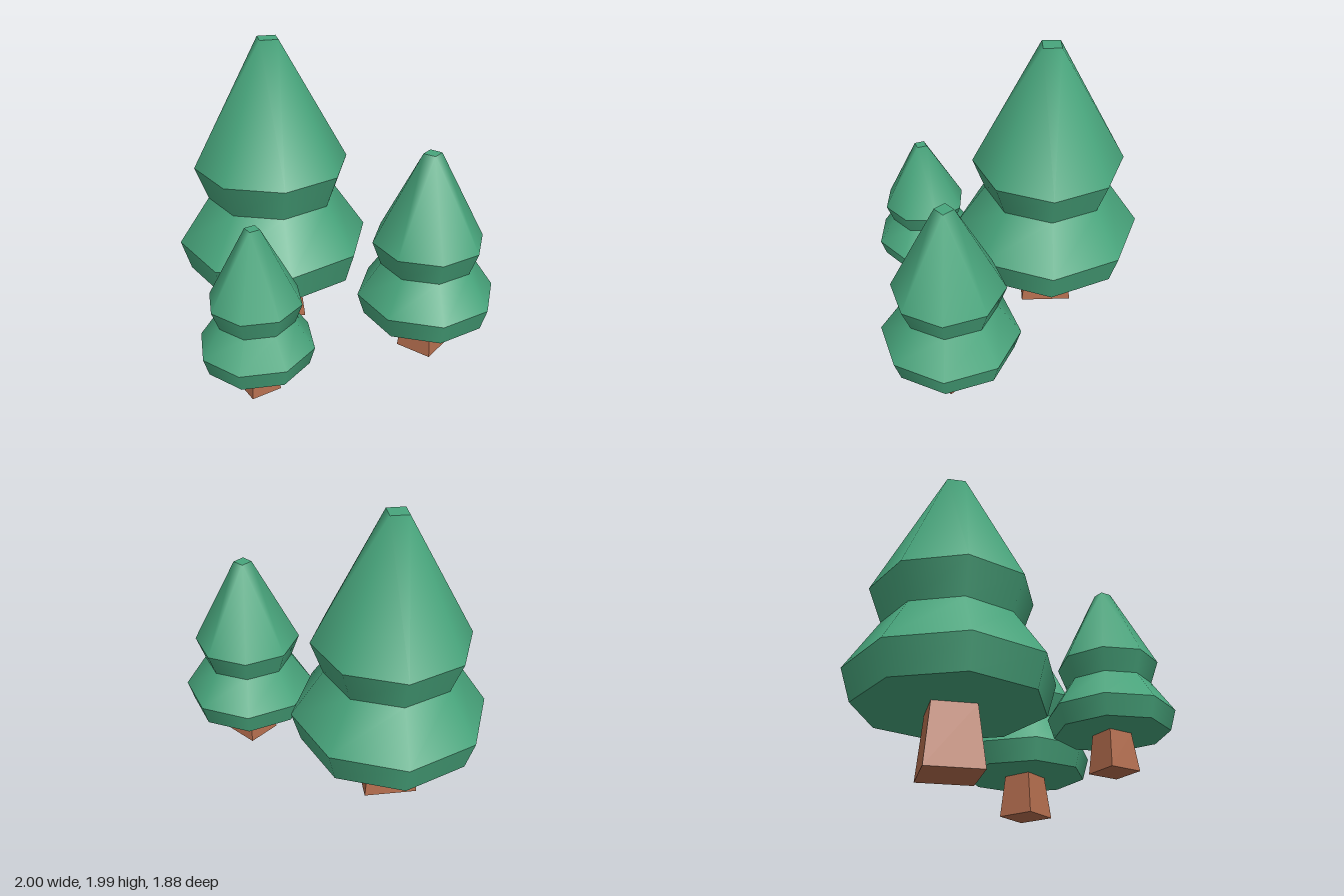
import * as THREE from 'three';

const leafGreen = new THREE.MeshStandardMaterial({ color: 0x48a57c });
leafGreen.name = 'leafGreen';
const barkBrown = new THREE.MeshStandardMaterial({ color: 0xb36d4e });
barkBrown.name = 'barkBrown';

function addMesh(parent, name, geometry, material, y = 0) {
  const mesh = new THREE.Mesh(geometry, material);
  mesh.name = name;
  mesh.position.y = y;
  parent.add(mesh);
}

// Octagonal foliage band, smooth around and sharp at its rims
function addBand(parent, name, y0, r0, y1, r1) {
  addMesh(parent, name, new THREE.CylinderGeometry(r1, r0, y1 - y0, 8, 1, true), leafGreen, (y0 + y1) / 2);
}

// Crown that narrows from an octagon to a small square
function crownGeometry(y0, r0, y1, r1) {
  const positions = [];
  const ring = (count, r, y, start) => {
    for (let i = 0; i < count; i++) {
      const a = start + (i / count) * Math.PI * 2;
      positions.push(r * Math.sin(a), y, r * Math.cos(a));
    }
  };
  ring(8, r0, y0, 0);
  ring(4, r1, y1, Math.PI / 4);
  const index = [];
  for (let i = 0; i < 4; i++) {
    const a = 2 * i, b = a + 1, c = (a + 2) % 8;
    const top = 8 + i, next = 8 + ((i + 1) % 4);
    index.push(a, b, top, b, c, top, c, next, top);
  }
  const geometry = new THREE.BufferGeometry();
  geometry.setAttribute('position', new THREE.Float32BufferAttribute(positions, 3));
  geometry.setIndex(index);
  geometry.computeVertexNormals();
  return geometry;
}

function createTree(name, x, z, scale, turn) {
  const tree = new THREE.Group();
  tree.name = name;

  // Tapered square trunk
  const trunk = new THREE.CylinderGeometry(0.195, 0.252, 0.397, 4, 1, false, Math.PI / 4).toNonIndexed();
  trunk.computeVertexNormals();
  addMesh(tree, 'trunk', trunk, barkBrown, 0.397 / 2);

  // Two foliage tiers
  const underside = new THREE.CircleGeometry(0.588, 8);
  underside.rotateX(Math.PI / 2);
  addMesh(tree, 'foliageUnderside', underside, leafGreen, 0.397);
  addBand(tree, 'lowerTierRim', 0.397, 0.588, 0.605, 0.65);
  addBand(tree, 'lowerTierSlope', 0.605, 0.65, 0.92, 0.438);
  addBand(tree, 'upperTierRim', 0.92, 0.438, 1.145, 0.52);
  addMesh(tree, 'crown', crownGeometry(1.145, 0.52, 1.992, 0.085), leafGreen);

  // Flat square tip
  const tip = new THREE.CircleGeometry(0.085, 4, Math.PI / 4);
  tip.rotateX(-Math.PI / 2);
  addMesh(tree, 'crownTip', tip, leafGreen, 1.992);

  tree.position.set(x, 0, z);
  tree.scale.setScalar(scale);
  tree.rotation.y = turn;
  return tree;
}

export function createModel() {
  const model = new THREE.Group();
  model.name = 'pineTrees';
  const deg = Math.PI / 180;
  model.add(
    createTree('largeTree', -0.35, -0.291, 1, 0),
    createTree('mediumTree', 0.543, 0.388, 0.7, 40.5 * deg),
    createTree('smallTree', -0.61, 0.595, 0.56, 19.8 * deg),
  );
  return model;
}
